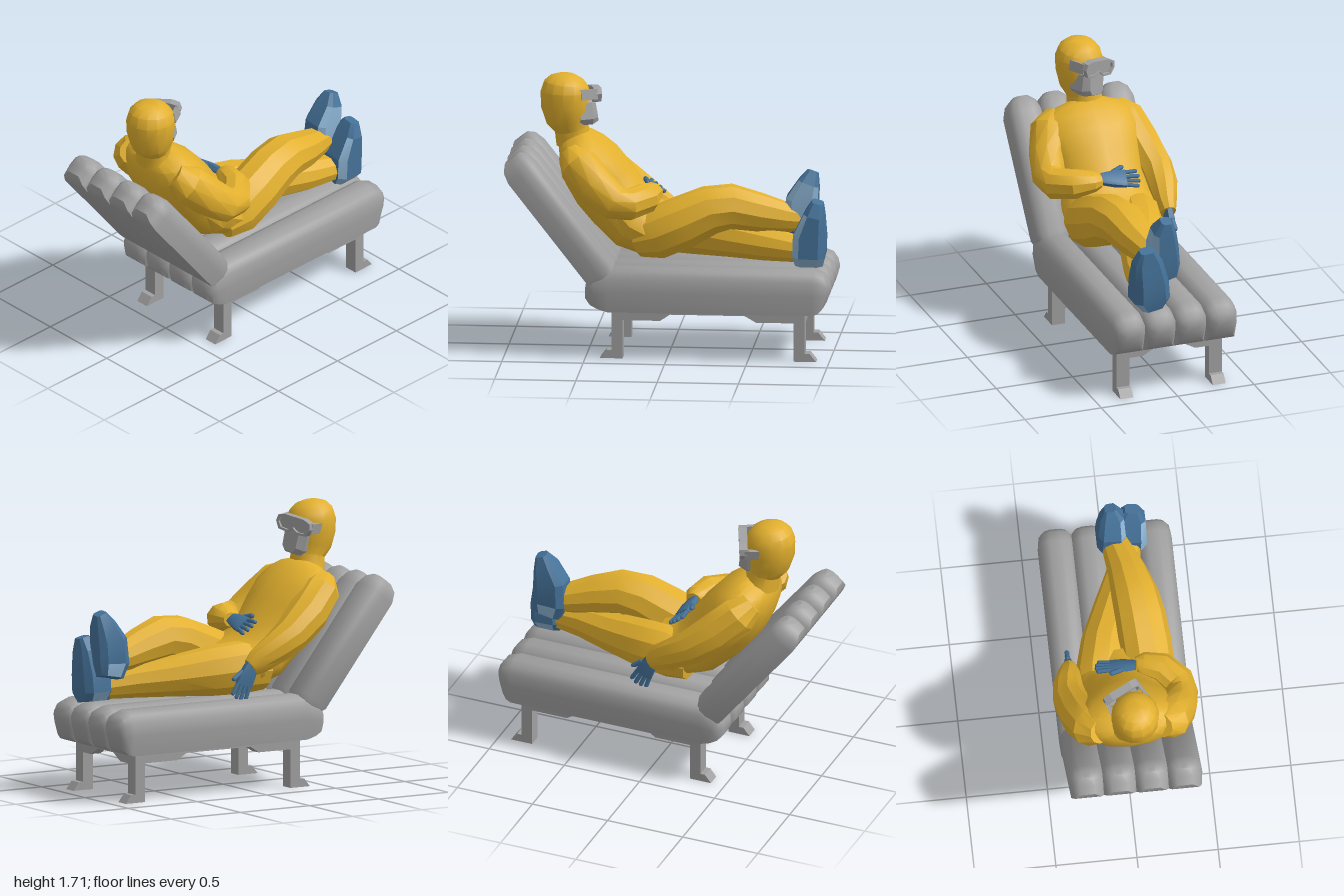
import * as THREE from 'three';
import { toCreasedNormals } from 'three/addons/utils/BufferGeometryUtils.js';

const mat = (name, color) => Object.assign(new THREE.MeshStandardMaterial({ color }), { name });
const V = (x, y, z) => new THREE.Vector3(x, y, z);

// Unit cross-sections, counter-clockwise
const round = (n) => Array.from({ length: n }, (_, k) => [Math.cos(k / n * 2 * Math.PI), Math.sin(k / n * 2 * Math.PI)]);
const cushionSection = [[1, 0.1], [0.9, 1], [-0.9, 1], [-1, 0.1], [-0.95, -0.5], [-0.75, -0.82], [-0.35, -1],
  [0.35, -1], [0.75, -0.82], [0.95, -0.5]];
const shoeSection = [[1, 0.6], [0.65, 1], [-0.65, 1], [-1, 0.6], [-1, -0.6], [-0.65, -1], [0.65, -1], [1, -0.6]];

// Skins rings [x, y, z, half width, half depth] along their own path
function loft(rings, section, ref = V(0, 0, 1), crease = 0.55) {
  const n = section.length, pos = [], idx = [];
  const pts = rings.map((r) => V(r[0], r[1], r[2]));
  rings.forEach((r, i) => {
    const t = pts[Math.min(i + 1, pts.length - 1)].clone().sub(pts[Math.max(i - 1, 0)]).normalize();
    const s = ref.clone().addScaledVector(t, -ref.dot(t)).normalize();
    const d = t.clone().cross(s);
    for (const [u, v] of section) {
      const p = pts[i].clone().addScaledVector(s, u * r[3]).addScaledVector(d, v * r[4]);
      pos.push(p.x, p.y, p.z);
    }
  });
  for (let i = 0; i < rings.length - 1; i++) for (let k = 0; k < n; k++) {
    const a = i * n + k, b = i * n + (k + 1) % n;
    idx.push(a, b, b + n, a, b + n, a + n);
  }
  const last = (rings.length - 1) * n;
  for (let k = 1; k < n - 1; k++) idx.push(0, k + 1, k, last, last + k, last + k + 1);
  const g = new THREE.BufferGeometry();
  g.setAttribute('position', new THREE.Float32BufferAttribute(pos, 3));
  g.setIndex(idx);
  return toCreasedNormals(g, crease);
}

function extrude(points, depth, holes = []) {
  const shape = new THREE.Shape(points.map((p) => new THREE.Vector2(...p)));
  shape.holes = holes.map((h) => new THREE.Path(h.map((p) => new THREE.Vector2(...p))));
  return new THREE.ExtrudeGeometry(shape, { depth, bevelEnabled: false });
}

export function createModel() {
  const model = new THREE.Group();
  const grey = mat('grey', 0xa0a0a0), suit = mat('suit yellow', 0xe2b02e);
  const blue = mat('blue', 0x457299), paleBlue = mat('pale blue', 0x8db4d4);
  const add = (name, geo, m, parent = model) => {
    const mesh = new THREE.Mesh(geo, m);
    mesh.name = name;
    parent.add(mesh);
    return mesh;
  };

  // Padded rolls of the seat and the backrest
  for (const z of [-0.3, -0.1, 0.1, 0.3]) {
    add('seatRoll', loft([
      [-0.5, 0.415, z, 0.06, 0.04], [-0.475, 0.415, z, 0.095, 0.075], [-0.44, 0.42, z, 0.108, 0.105],
      [-0.36, 0.437, z, 0.113, 0.137], [0.9, 0.437, z, 0.113, 0.137], [0.95, 0.43, z, 0.106, 0.12],
      [0.98, 0.425, z, 0.085, 0.085], [0.997, 0.42, z, 0.045, 0.045],
    ], cushionSection, undefined, 0.8), grey);
    add('backRoll', loft([
      [-0.953, 1.234, z, 0.05, 0.055], [-0.932, 1.207, z, 0.09, 0.085], [-0.89, 1.155, z, 0.113, 0.1],
      [-0.41, 0.54, z, 0.113, 0.1], [-0.37, 0.49, z, 0.09, 0.07],
    ], cushionSection, undefined, 0.8), grey);
  }

  // Frame: side rails with splayed feet, end rails between them
  const side = [[-0.41, 0], [-0.27, 0], [-0.27, 0.24], [-0.04, 0.24], [0.02, 0.28], [0.48, 0.28], [0.55, 0.24], [0.78, 0.24],
    [0.78, 0], [0.92, 0], [0.88, 0.05], [0.85, 0.05], [0.85, 0.305], [-0.34, 0.305], [-0.34, 0.05], [-0.37, 0.05]];
  for (const z of [-0.345, 0.26]) add('sideRail', extrude(side, 0.085), grey).position.z = z;
  const end = [[-0.26, 0.235], [-0.17, 0.235], [-0.09, 0.28], [0.09, 0.28], [0.17, 0.235], [0.26, 0.235], [0.26, 0.305], [-0.26, 0.305]];
  for (const x of [-0.34, 0.78]) {
    const rail = add('endRail', extrude(end, 0.07), grey);
    rail.rotation.y = Math.PI / 2;
    rail.position.x = x;
  }

  // Suited body
  add('torso', loft([
    [-0.605, 1.325, 0, 0.12, 0.08], [-0.59, 1.295, 0, 0.22, 0.115], [-0.555, 1.23, 0, 0.31, 0.155],
    [-0.495, 1.14, 0, 0.325, 0.19], [-0.415, 1.025, 0, 0.3, 0.205], [-0.325, 0.91, 0, 0.27, 0.2],
    [-0.22, 0.805, 0.01, 0.29, 0.195], [-0.1, 0.75, 0.015, 0.3, 0.17], [0.04, 0.74, 0.01, 0.24, 0.13],
  ], round(16)), suit);
  add('hood', loft([
    [-0.6, 1.28, 0, 0.12, 0.11], [-0.615, 1.37, 0.01, 0.105, 0.105], [-0.635, 1.43, 0.02, 0.13, 0.135],
    [-0.65, 1.52, 0.025, 0.145, 0.152], [-0.652, 1.6, 0.025, 0.147, 0.153], [-0.648, 1.65, 0.022, 0.13, 0.137],
    [-0.643, 1.688, 0.02, 0.095, 0.1], [-0.641, 1.708, 0.02, 0.045, 0.05],
  ], round(14)), suit);

  // Legs: the right one is raised and crosses over the left
  add('rightLeg', loft([
    [-0.2, 0.72, 0.16, 0.13, 0.12], [-0.08, 0.755, 0.175, 0.16, 0.165], [0.1, 0.83, 0.165, 0.16, 0.165],
    [0.25, 0.9, 0.15, 0.155, 0.152], [0.38, 0.92, 0.13, 0.145, 0.14], [0.55, 0.88, 0.1, 0.12, 0.12],
    [0.7, 0.845, 0.06, 0.095, 0.095], [0.79, 0.83, 0.04, 0.075, 0.08],
  ], round(10)), suit);
  add('leftLeg', loft([
    [-0.2, 0.72, -0.14, 0.13, 0.13], [-0.05, 0.74, -0.13, 0.15, 0.165], [0.15, 0.725, -0.08, 0.145, 0.155],
    [0.38, 0.7, 0.005, 0.13, 0.125], [0.6, 0.68, 0.085, 0.11, 0.105], [0.82, 0.655, 0.13, 0.08, 0.078],
  ], round(10)), suit);

  // Arms
  const up = V(0, 1, 0);
  add('rightArm', loft([
    [-0.61, 1.245, 0.19, 0.08, 0.08], [-0.55, 1.185, 0.245, 0.125, 0.13], [-0.44, 1.07, 0.31, 0.125, 0.12],
    [-0.32, 0.975, 0.345, 0.11, 0.105], [-0.23, 0.965, 0.335, 0.1, 0.1], [-0.14, 0.985, 0.24, 0.095, 0.095],
    [-0.11, 1.0, 0.13, 0.065, 0.075], [-0.11, 1.0, 0.09, 0.045, 0.05],
  ], round(10), up), suit);
  add('leftArm', loft([
    [-0.61, 1.245, -0.18, 0.08, 0.08], [-0.55, 1.185, -0.23, 0.125, 0.13], [-0.43, 1.06, -0.285, 0.13, 0.13],
    [-0.28, 0.945, -0.335, 0.115, 0.11], [-0.17, 0.875, -0.34, 0.1, 0.095], [-0.06, 0.805, -0.32, 0.085, 0.07],
    [-0.005, 0.765, -0.315, 0.06, 0.05],
  ], round(10), up), suit);

  // Gloves: palm, four fingers, thumb; fingers follow local +y
  const glove = (name, p, across, along, thumbSide) => {
    const hand = new THREE.Group();
    hand.name = name;
    add('palm', loft([[0, -0.05, 0, 0.022, 0.035], [0, 0.03, 0, 0.026, 0.05], [0, 0.11, 0, 0.017, 0.056]], shoeSection), blue, hand);
    for (let i = -1.5; i < 2; i++) {
      const finger = add('finger', new THREE.CapsuleGeometry(0.014, 0.095 - Math.abs(i) * 0.012, 2, 6), blue, hand);
      finger.position.set(i * 0.031, 0.147 - Math.abs(i) * 0.005, 0);
      finger.rotation.z = -i * 0.08;
    }
    const thumb = add('thumb', new THREE.CapsuleGeometry(0.016, 0.065, 2, 6), blue, hand);
    thumb.position.set(thumbSide * 0.065, 0.065, 0);
    thumb.rotation.z = -thumbSide * 0.5;
    const y = along.normalize(), x = across.addScaledVector(y, -across.dot(y)).normalize();
    hand.applyMatrix4(new THREE.Matrix4().makeBasis(x, y, x.clone().cross(y)).setPosition(p));
    model.add(hand);
  };
  glove('rightGlove', V(-0.11, 1.0, 0.035), V(0.75, -0.6, 0), V(0.08, -0.1, -1), -1);
  glove('leftGlove', V(0.005, 0.755, -0.315), V(0.9, 0.4, 0), V(0.42, -0.9, 0), 1);

  // Shoes: toes up, soles facing +x; listed [ring, side] faces are pale
  const shoe = (name, rings, pale) => {
    const geo = loft(rings, shoeSection, undefined, 0.3), quads = (rings.length - 1) * 8;
    for (let q = 0; q < quads; q++) geo.addGroup(q * 6, 6, pale.some(([i, k]) => i * 8 + k === q) ? 1 : 0);
    geo.addGroup(quads * 6, Infinity, 0);
    add(name, geo, [blue, paleBlue]);
  };
  shoe('leftShoe', [
    [0.86, 0.57, 0.125, 0.07, 0.085], [0.86, 0.63, 0.135, 0.115, 0.1], [0.865, 0.75, 0.14, 0.11, 0.1],
    [0.895, 0.89, 0.16, 0.088, 0.062], [0.915, 0.967, 0.17, 0.045, 0.035],
  ], [[0, 7], [0, 6], [1, 6], [2, 6], [0, 0], [0, 3]]);
  shoe('rightShoe', [
    [0.82, 0.73, 0.0, 0.05, 0.08], [0.805, 0.81, 0.02, 0.085, 0.105], [0.81, 0.95, 0.03, 0.085, 0.1],
    [0.85, 1.06, 0.038, 0.072, 0.065], [0.875, 1.128, 0.03, 0.035, 0.035],
  ], [[0, 7], [1, 7], [2, 7], [1, 6], [2, 6], [0, 3], [1, 0], [2, 0]]);

  // Goggles and face mask, turned with the head; local +z is forward
  const face = new THREE.Group();
  face.name = 'faceGear';
  face.position.set(-0.49, 1.572, -0.04);
  face.rotation.set(0, 2.0, -0.18, 'YXZ');
  model.add(face);
  const rim = (s) => [[-0.1, -0.045], [-0.04, -0.05], [0, -0.02], [0.04, -0.05], [0.1, -0.045], [0.125, 0], [0.115, 0.04],
    [0.07, 0.055], [-0.07, 0.055], [-0.115, 0.04], [-0.125, 0]].map(([x, y]) => [x * s, y * (s * 2 - 1)]);
  add('goggleFrame', extrude(rim(1), 0.05, [rim(0.86)]), grey, face).position.z = -0.03;
  add('goggleLens', extrude(rim(0.9), 0.008), grey, face).position.z = -0.005;
  for (const s of [-1, 1]) {
    const strap = add('goggleStrap', new THREE.BoxGeometry(0.02, 0.065, 0.11), grey, face);
    strap.position.set(s * 0.118, 0.002, -0.065);
    strap.rotation.y = -s * 0.1;
  }
  add('mask', loft([
    [0, -0.1, -0.12, 0.1, 0.085], [0, -0.1, -0.03, 0.085, 0.085], [-0.005, -0.095, 0.01, 0.05, 0.07],
  ], shoeSection, V(1, 0, 0), 0.3), grey, face);

  return model;
}
